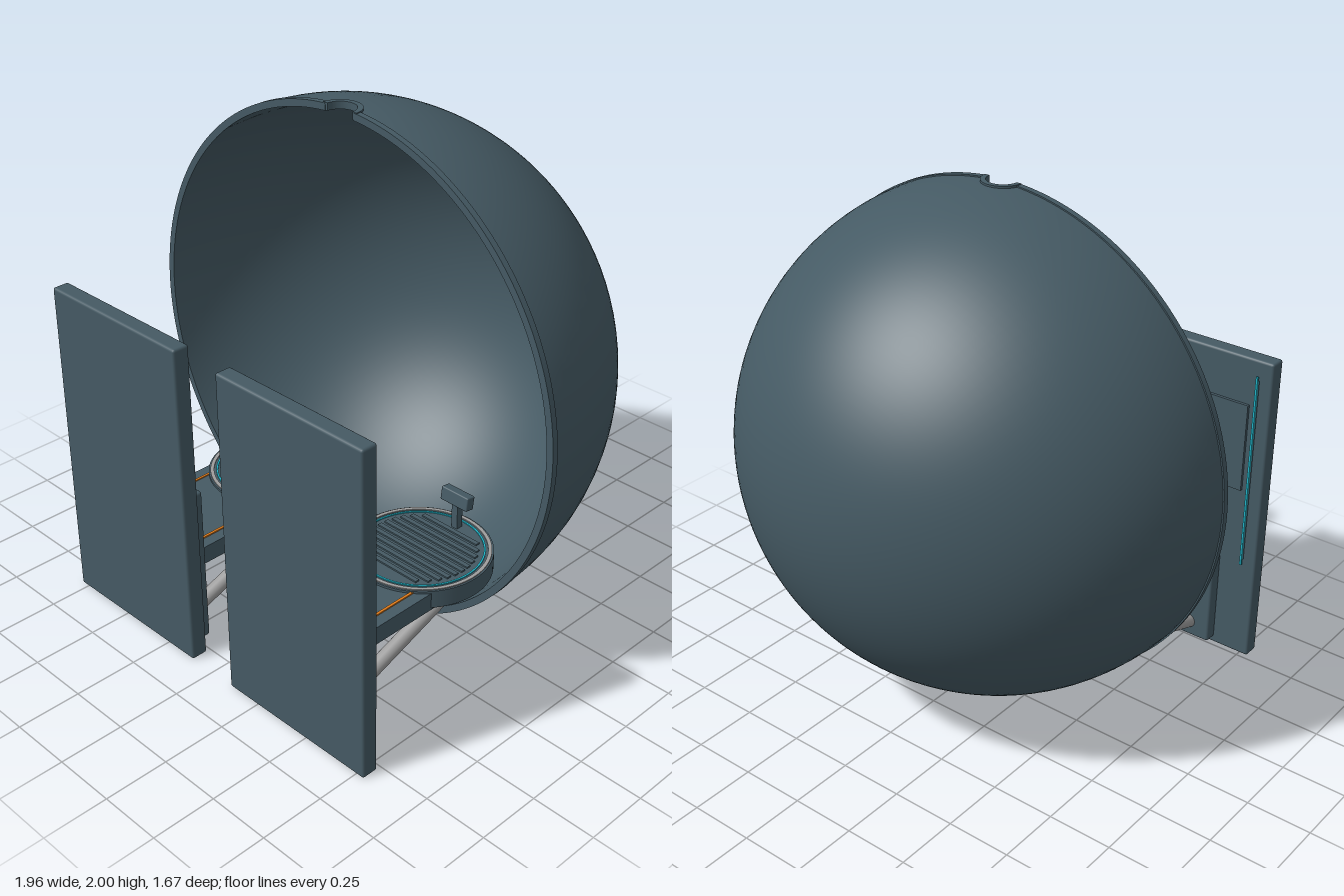
import * as THREE from 'three';
import { RoundedBoxGeometry } from 'three/addons/geometries/RoundedBoxGeometry.js';

const mat = (name, color, extra = {}) => {
  const m = new THREE.MeshStandardMaterial({ color, ...extra });
  m.name = name;
  return m;
};

const CY = 1.018, CZ = 0.14, R = 0.977; // dome centre and radius
const NOTCH = 0.07, NOTCH_Z = 0.157;    // half-round cuts at top and bottom

// Half sphere open to the front, its edge pulled back around the two notches
function domeSurface(radius, inward) {
  const nu = 144, nv = 40, pos = [], nor = [], idx = [];
  for (let i = 0; i <= nu; i++) {
    const u = (i / nu) * Math.PI * 2;
    const th = u + 0.4 * Math.sin(2 * u); // denser near the notches
    const x = radius * Math.cos(th);
    const edge = Math.abs(x) < NOTCH ? Math.min(CZ, NOTCH_Z - Math.sqrt(NOTCH ** 2 - x * x)) : CZ;
    const a0 = Math.asin((CZ - edge) / radius);
    for (let j = 0; j <= nv; j++) {
      const a = a0 + (Math.PI / 2 - a0) * (j / nv);
      const n = [Math.cos(a) * Math.cos(th), Math.cos(a) * Math.sin(th), -Math.sin(a)];
      pos.push(n[0] * radius, n[1] * radius + CY, n[2] * radius + CZ);
      nor.push(...n.map(c => (inward ? -c : c)));
      if (i < nu && j < nv) {
        const p = i * (nv + 1) + j, q = p + nv + 1;
        if (inward) idx.push(p, q, p + 1, p + 1, q, q + 1);
        else idx.push(p, p + 1, q, p + 1, q + 1, q);
      }
    }
  }
  const g = new THREE.BufferGeometry();
  g.setAttribute('position', new THREE.Float32BufferAttribute(pos, 3));
  g.setAttribute('normal', new THREE.Float32BufferAttribute(nor, 3));
  g.setIndex(idx);
  return g;
}

// Flat ring sector, extruded along +z
function ringSector(r0, r1, a0, a1, depth, segments) {
  const s = new THREE.Shape();
  s.absarc(0, 0, r1, a0, a1, false);
  s.absarc(0, 0, r0, a1, a0, true);
  return new THREE.ExtrudeGeometry(s, { depth, bevelEnabled: false, curveSegments: segments });
}

export function createModel() {
  const model = new THREE.Group();
  model.name = 'domeStation';
  const slate = mat('slate', 0x455a64);
  const grey = mat('steelGrey', 0x9e9e9e);
  const cyan = mat('cyanLight', 0x1fb5c9);
  const orange = mat('orangeStripe', 0xe07b1a);

  const add = (parent, name, geometry, material, x = 0, y = 0, z = 0) => {
    const m = new THREE.Mesh(geometry, material);
    m.name = name;
    m.position.set(x, y, z);
    parent.add(m);
    return m;
  };

  // Dome shell
  const dome = new THREE.Group();
  dome.name = 'dome';
  model.add(dome);
  add(dome, 'domeOuter', domeSurface(R, false), slate);
  add(dome, 'domeInner', domeSurface(R - 0.022, true), slate);

  // Rim halves and notch collars
  const gap = NOTCH / R;
  for (const c of [0, Math.PI]) {
    const h = Math.PI / 2 - gap;
    add(dome, 'domeRim', ringSector(0.955, 0.982, c - h, c + h, 0.024, 80), slate, 0, CY, 0.135);
  }
  for (const y of [1.972, 0.036]) {
    const collar = add(dome, 'notchCollar',
      ringSector(0.06, 0.08, 0, Math.PI, 0.028, 24), slate, 0, y, 0.157);
    collar.rotation.x = -Math.PI / 2;
  }

  // Two mirrored bays
  for (const s of [1, -1]) {
    const bay = new THREE.Group();
    bay.name = s > 0 ? 'leftBay' : 'rightBay';
    model.add(bay);
    const box = (name, material, x0, x1, y0, y1, z0, z1, round = 0) => {
      const d = [x1 - x0, y1 - y0, z1 - z0];
      const g = round ? new RoundedBoxGeometry(...d, 2, round) : new THREE.BoxGeometry(...d);
      return add(bay, name, g, material, s * (x0 + x1) / 2, (y0 + y1) / 2, (z0 + z1) / 2);
    };
    const X = 0.39, Z = 0.145;

    // Front panel with backing plates and light strips
    box('frontPanel', slate, 0.105, 0.787, 0, 1.295, 0.768, 0.835, 0.01);
    box('mountPlate', slate, 0.148, 0.632, 0.03, 0.665, 0.714, 0.77, 0.01);
    box('screenPlate', slate, 0.195, 0.7, 0.74, 1.105, 0.756, 0.77);
    for (const x of [0.162, 0.73])
      box('lightStrip', cyan, x - 0.004, x + 0.004, 0.42, 1.235, 0.75, 0.758);
    for (const x of [0.162, 0.73])
      box('lightStripBase', slate, x - 0.003, x + 0.003, 0.44, 1.215, 0.758, 0.769);

    // Walkway with painted edge lines
    box('walkway', slate, 0.18, 0.6, 0.325, 0.396, 0.2, 0.716);
    for (const x of [X - 0.16, X + 0.16])
      box('walkwayStripe', orange, x - 0.005, x + 0.005, 0.396, 0.401, 0.31, 0.714);

    // Round platform with trim, light ring and slats
    add(bay, 'platform', new THREE.CylinderGeometry(0.268, 0.268, 0.071, 72), slate, s * X, 0.3695, Z);
    const flatRing = (name, m, r0, r1, h) => {
      const g = ringSector(r0, r1, 0, Math.PI * 2, h, 72);
      add(bay, name, g, m, s * X, 0.405, Z).rotation.x = -Math.PI / 2;
    };
    flatRing('platformTrim', grey, 0.247, 0.261, 0.004);
    flatRing('platformLight', cyan, 0.231, 0.238, 0.004);
    for (let i = -5; i <= 5; i++) {
      const z = i * 0.032, half = Math.sqrt(0.21 ** 2 - z * z);
      box('platformSlat', slate, X - half, X + half, 0.404, 0.411, Z + z - 0.009, Z + z + 0.009);
    }

    // Control console
    box('consolePost', slate, X - 0.014, X + 0.014, 0.405, 0.52, -0.064, -0.036);
    const head = box('consoleHead', slate, X - 0.065, X + 0.065, 0.505, 0.56, -0.07, -0.03, 0.005);
    head.rotation.x = -0.15;

    // Diagonal struts
    const a = new THREE.Vector3(0, 0.09, 0.73), b = new THREE.Vector3(0, 0.33, 0.06);
    const dir = b.clone().sub(a);
    for (const x of [X - 0.15, X + 0.15]) {
      const strut = add(bay, 'strut', new THREE.CylinderGeometry(0.028, 0.028, dir.length(), 24), grey,
        s * x, (a.y + b.y) / 2, (a.z + b.z) / 2);
      strut.quaternion.setFromUnitVectors(new THREE.Vector3(0, 1, 0), dir.clone().normalize());
    }
  }
  return model;
}
